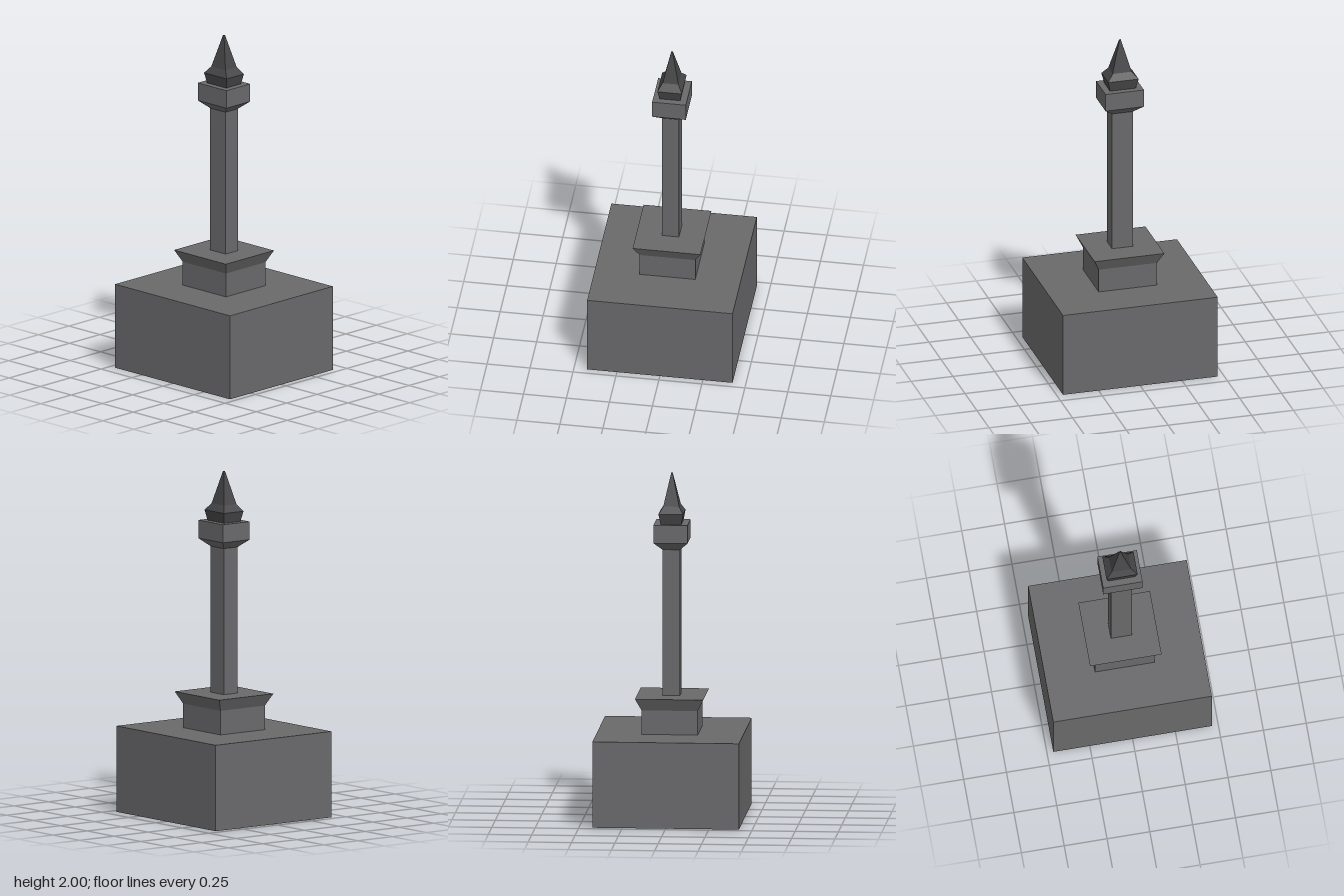
import * as THREE from 'three';

// Rectangular loft: each section is [y, half width, half depth]; closed on top, open below.
function loft(sections) {
  const positions = [];
  const corners = ([y, w, d]) => [[-w, y, d], [w, y, d], [w, y, -d], [-w, y, -d]];
  const quad = (a, b, c, d) => positions.push(...a, ...b, ...c, ...a, ...c, ...d);
  for (let i = 0; i < sections.length - 1; i++) {
    const low = corners(sections[i]);
    const high = corners(sections[i + 1]);
    for (let k = 0; k < 4; k++) {
      const n = (k + 1) % 4;
      quad(low[k], low[n], high[n], high[k]);
    }
  }
  quad(...corners(sections[sections.length - 1]));
  const geometry = new THREE.BufferGeometry();
  geometry.setAttribute('position', new THREE.Float32BufferAttribute(positions, 3));
  geometry.computeVertexNormals(); // unshared corners keep every face flat
  return geometry;
}

export function createModel() {
  const stone = new THREE.MeshStandardMaterial({ color: 0x69696b, side: THREE.DoubleSide });
  stone.name = 'grey stone';
  const slate = new THREE.MeshStandardMaterial({ color: 0x464648, side: THREE.DoubleSide });
  slate.name = 'dark slate';

  const group = new THREE.Group();
  group.name = 'monument';
  const add = (name, material, sections) => {
    const mesh = new THREE.Mesh(loft(sections), material);
    mesh.name = name;
    group.add(mesh);
  };

  // Hollow block, open underneath
  add('base', stone, [[0, 0.463, 0.423], [0.5, 0.463, 0.423]]);
  // Plinth with an outward flaring cornice
  add('pedestal', stone, [[0.5, 0.174, 0.162], [0.64, 0.174, 0.162], [0.71, 0.209, 0.197]]);
  add('shaft', stone, [[0.71, 0.062, 0.05], [1.56, 0.062, 0.05]]);
  // Tapered underside and straight-sided block
  add('capital', stone, [[1.56, 0.062, 0.05], [1.605, 0.115, 0.098], [1.71, 0.115, 0.098]]);
  // Flared collar, shoulder and pointed roof
  add('spire', slate, [
    [1.71, 0.077, 0.06], [1.77, 0.091, 0.071], [1.81, 0.057, 0.046], [2, 0.004, 0.004],
  ]);
  return group;
}
